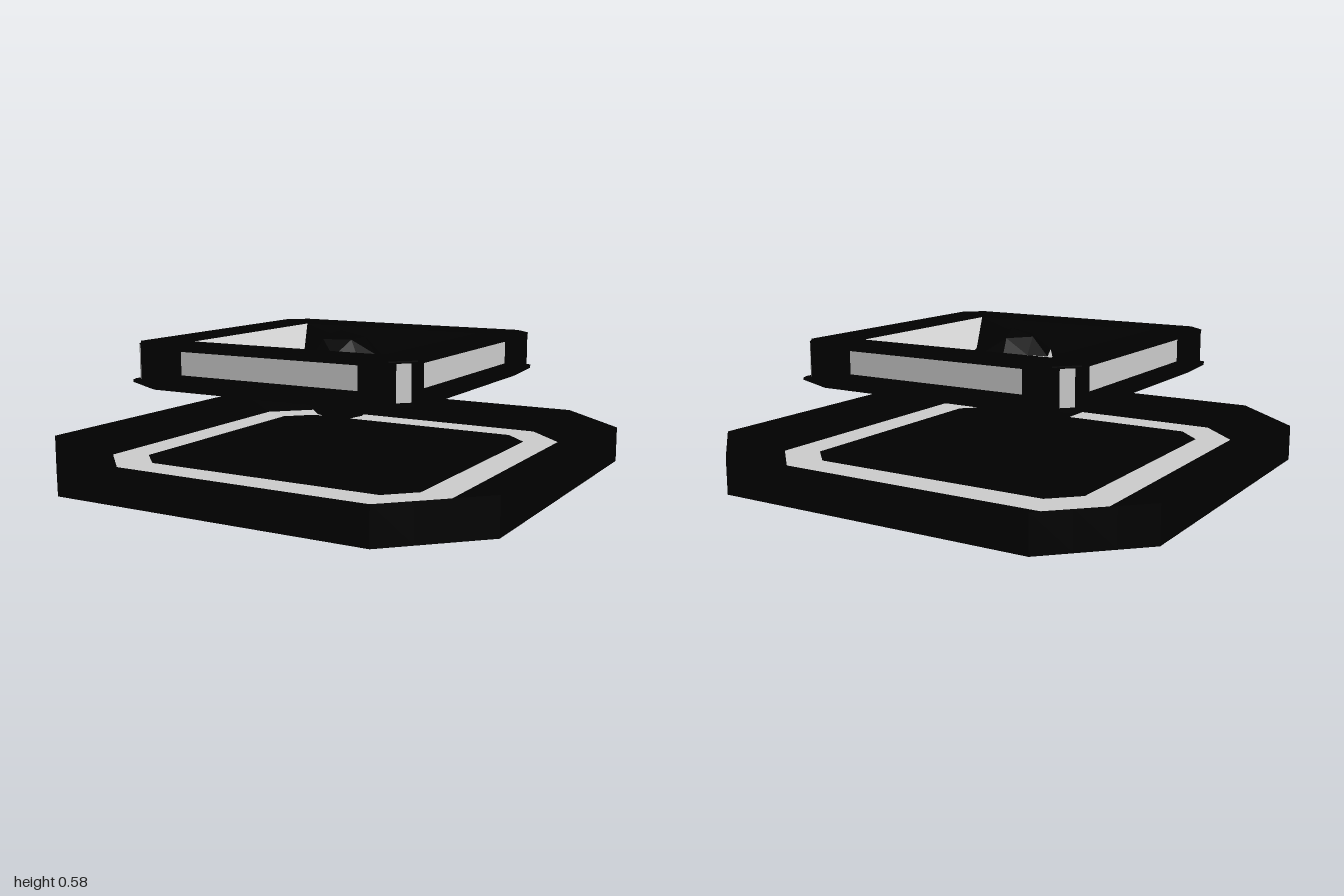
import * as THREE from 'three';

const black = new THREE.MeshStandardMaterial({ color: 0x000000, flatShading: true });
const grey = new THREE.MeshStandardMaterial({ color: 0xcccccc, flatShading: true });

function add(parent, name, geometry, material) {
  const mesh = new THREE.Mesh(geometry, material);
  mesh.name = name;
  parent.add(mesh);
}

// 16-point loop: middle of each side at m (reaching to q), corner points at (o, c) and (c, o)
function loop([y, m, q, o, c]) {
  const points = [];
  for (let k = 0; k < 4; k++) {
    for (let [x, z] of [[m, -q], [m, q], [o, c], [c, o]]) {
      for (let n = 0; n < k; n++) [x, z] = [-z, x];
      points.push([x, y, z]);
    }
  }
  return points;
}

// Section that is a square with straight cut corners
const octagon = (y, r, q) => [y, r, q, (2 * r + q) / 3, (r + 2 * q) / 3];

function geometryFrom(positions) {
  const geometry = new THREE.BufferGeometry();
  geometry.setAttribute('position', new THREE.Float32BufferAttribute(positions, 3));
  geometry.computeVertexNormals();
  return geometry;
}

// Joins successive loops; isGrey(section, side) sorts the faces by colour
function loft(sections, isGrey) {
  const loops = sections.map(loop);
  const dark = [], light = [];
  for (let s = 0; s < loops.length - 1; s++) {
    for (let i = 0; i < 16; i++) {
      const j = (i + 1) % 16;
      const a = loops[s][i], b = loops[s][j], c = loops[s + 1][j], d = loops[s + 1][i];
      (isGrey(s, i) ? light : dark).push(...a, ...d, ...c, ...a, ...c, ...b);
    }
  }
  return [geometryFrom(dark), geometryFrom(light)];
}

export function createModel() {
  const model = new THREE.Group();

  // Dished base plate: the top slopes down from the rim to a light band and a flat floor
  const base = new THREE.Group();
  base.name = 'base';
  model.add(base);
  const [basePlate, baseBand] = loft([
    octagon(0, 0, 0),
    octagon(0, 1, 0.68),
    octagon(0.15, 1, 0.68),
    octagon(0.077, 0.765, 0.588),
    octagon(0.077, 0.63, 0.52),
    octagon(0.077, 0, 0),
  ], (s) => s === 3);
  add(base, 'basePlate', basePlate, black);
  add(base, 'baseBand', baseBand, grey);

  // Floating frame: a closed profile running from the underside, round the outside and into the hopper
  const frame = new THREE.Group();
  frame.name = 'floatingFrame';
  model.add(frame);
  const sections = [
    [0.368, 0.25, 0.1, 0.2, 0.15],        // underside of opening
    [0.368, 0.577, 0.54, 0.565, 0.565],   // underside edge
    [0.4, 0.628, 0.585, 0.617, 0.617],    // lower flange with pointed corners
    [0.41, 0.628, 0.585, 0.617, 0.617],
    [0.412, 0.58, 0.4, 0.615, 0.575],     // wall with flared corners
    [0.437, 0.58, 0.4, 0.615, 0.575],
    [0.531, 0.58, 0.4, 0.615, 0.575],
    [0.552, 0.58, 0.4, 0.615, 0.575],
    [0.555, 0.627, 0.4, 0.627, 0.55],     // top lip with cut corners
    [0.56, 0.627, 0.4, 0.627, 0.55],
    [0.557, 0.44, 0.44, 0.44, 0.44],      // hopper rim
    [0.45, 0.25, 0.1, 0.2, 0.15],         // hopper throat
    [0.368, 0.25, 0.1, 0.2, 0.15],
  ];
  const [frameBody, framePanels] = loft(sections, (s, i) =>
    (s === 5 && i % 4 === 0) ||            // side panels
    (s >= 4 && s <= 6 && i % 4 === 2) ||   // corner strips
    (s >= 10 && i % 8 === 0));             // left and right hopper slopes
  add(frame, 'frameBody', frameBody, black);
  add(frame, 'framePanels', framePanels, grey);

  // Faceted ball, pole upright, dark caps around a light middle band
  const radius = 0.193;
  const ico = new THREE.IcosahedronGeometry(radius, 1).rotateZ(Math.atan(2 / (1 + Math.sqrt(5))));
  const p = ico.attributes.position.array;
  const caps = [], middle = [];
  for (let i = 0; i < p.length; i += 9) {
    const y = (p[i + 1] + p[i + 4] + p[i + 7]) / 3;
    (Math.abs(y) > 0.45 * radius ? caps : middle).push(...p.slice(i, i + 9));
  }
  const ball = new THREE.Group();
  ball.name = 'ball';
  ball.position.y = 0.392;
  model.add(ball);
  add(ball, 'ballCaps', geometryFrom(caps), black);
  add(ball, 'ballBand', geometryFrom(middle), grey);

  return model;
}
